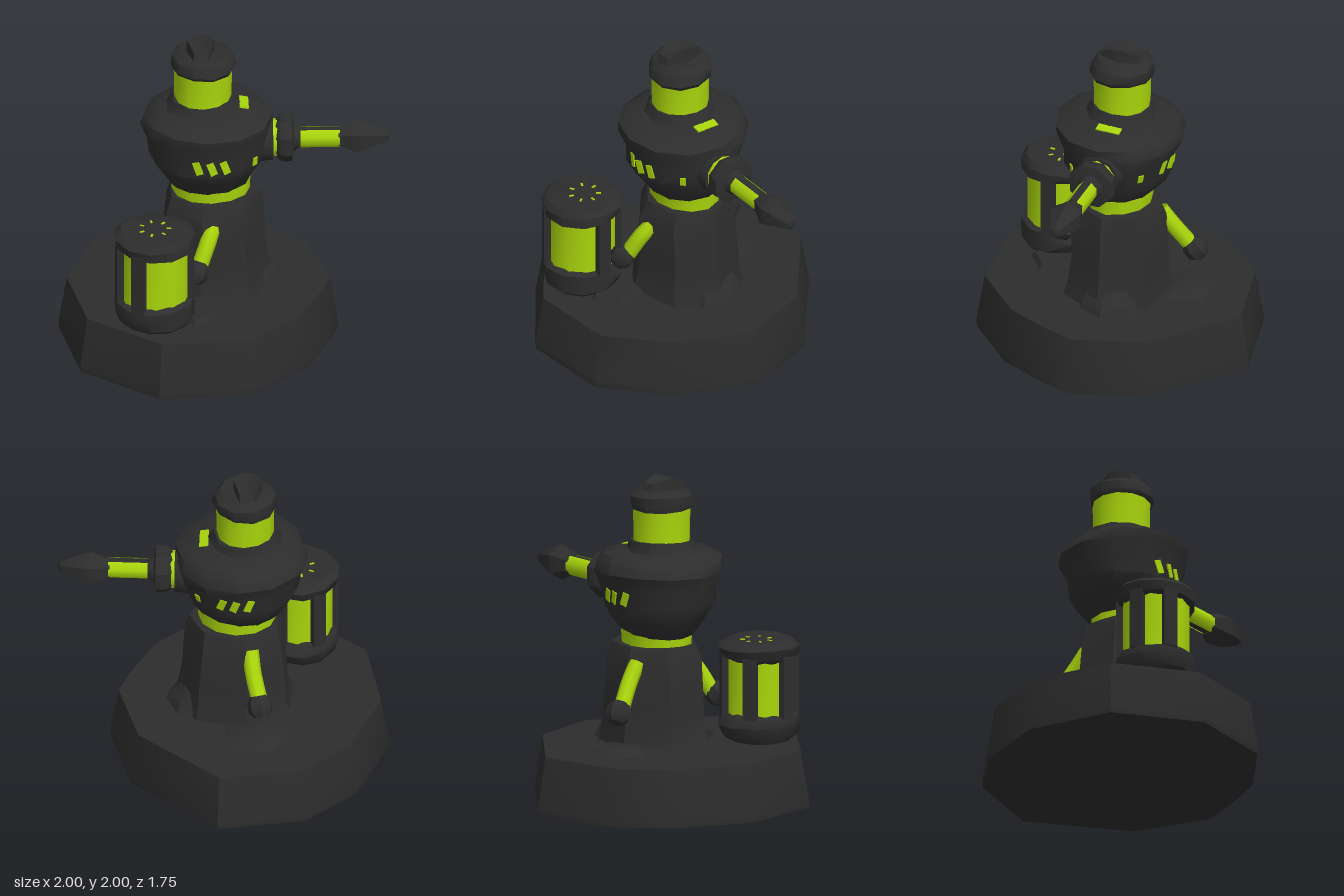
import * as THREE from 'three';
import { toCreasedNormals } from 'three/addons/utils/BufferGeometryUtils.js';

const dark = new THREE.MeshStandardMaterial({ color: 0x2d2d2d });
dark.name = 'charcoal';
const lime = new THREE.MeshStandardMaterial({ color: 0xa8d40c, side: THREE.DoubleSide });
lime.name = 'lime';

// Closed skin over rings of [x, y, z] points, with centre caps; topDip lowers the upper centre
function skin(rings, topDip = 0) {
  const n = rings[0].length, pos = [], idx = [];
  rings.forEach(r => r.forEach(p => pos.push(...p)));
  for (let k = 0; k < rings.length - 1; k++) {
    for (let i = 0; i < n; i++) {
      const j = (i + 1) % n, a = k * n, b = a + n;
      idx.push(a + i, b + i, a + j, a + j, b + i, b + j);
    }
  }
  [rings[0], rings[rings.length - 1]].forEach((r, end) => {
    const c = [0, 1, 2].map(d => r.reduce((s, p) => s + p[d], 0) / n);
    c[1] -= end * topDip;
    const ci = pos.length / 3, o = end * (rings.length - 1) * n;
    pos.push(...c);
    for (let i = 0; i < n; i++) {
      const j = (i + 1) % n;
      if (end) idx.push(ci, o + j, o + i); else idx.push(ci, o + i, o + j);
    }
  });
  const g = new THREE.BufferGeometry();
  g.setAttribute('position', new THREE.Float32BufferAttribute(pos, 3));
  g.setIndex(idx);
  return toCreasedNormals(g, 0.7);
}

// Roughly round stack of [y, rx, rz] rings, with hand-hewn unevenness
function loft(profile, sides, { rough = 0, phase = 0, pleat = 0, sag = 0, dip = 0 } = {}) {
  return skin(profile.map(([y, rx, rz = rx], k) => Array.from({ length: sides }, (_, i) => {
    const a = phase + i / sides * Math.PI * 2;
    const s = 1 + rough * Math.sin(i * 12.9 + k * 2.3) - pleat * (i % 2);
    return [Math.cos(a) * rx * s, y - sag * Math.abs(Math.sin(a)) + rough * 0.2 * Math.sin(i * 5.1 + k), Math.sin(a) * rz * s];
  })), dip);
}

export function createModel() {
  const model = new THREE.Group();
  const add = (name, geo, mat, x = 0, y = 0, z = 0) => {
    const m = new THREE.Mesh(geo, mat);
    m.name = name;
    m.position.set(x, y, z);
    model.add(m);
    return m;
  };
  const box = (name, w, h, d, x, y, z, turn, mat) => {
    const m = add(name, new THREE.BoxGeometry(w, h, d), mat, x, y, z);
    m.rotation.y = turn;
  };

  // Rock base with a slightly domed top
  const outline = [[0.69, 0.02], [0.62, 0.22], [0.48, 0.52], [0.15, 0.83], [-0.41, 0.87], [-0.88, 0.52],
    [-1, -0.02], [-0.82, -0.49], [-0.53, -0.77], [0, -0.88], [0.54, -0.45]];
  const baseRing = (y, s) => outline.map(([x, z]) => [-0.155 + (x + 0.155) * s, y, z * s]);
  add('base', skin([baseRing(0, 0.995), baseRing(0.04, 1), baseRing(0.352, 0.94)], -0.015), dark);

  // Low rubble around the pedestal
  add('rubble', loft([[0.34, 0.2, 0.21], [0.41, 0.17, 0.18], [0.48, 0.1, 0.13]], 7, { rough: 0.04 }), dark, 0.155, 0, -0.05);
  add('rubble', loft([[0.34, 0.15, 0.19], [0.39, 0.12, 0.15]], 5, { phase: 0.4 }), dark, -0.18, 0, 0.43);
  add('rubble', loft([[0.34, 0.24, 0.22], [0.39, 0.15, 0.12]], 5, { phase: 0.4 }), dark, -0.2, 0, -0.4);

  // Pleated pedestal
  add('pedestal', loft([[0.34, 0.38, 0.34], [0.43, 0.35, 0.32], [0.6, 0.33, 0.295], [0.88, 0.305, 0.295], [0.97, 0.28, 0.25]],
    14, { pleat: 0.09, rough: 0.02 }), dark, -0.07, 0, -0.01);
  add('waistRing', loft([[0.95, 0.235, 0.2], [1.06, 0.24, 0.21]], 12), lime, -0.08, 0, -0.01);

  // Bulging body
  const bodyGeo = loft([[1.02, 0.21, 0.19], [1.06, 0.26, 0.23], [1.14, 0.305, 0.285], [1.22, 0.35, 0.335], [1.32, 0.375, 0.345],
    [1.43, 0.4, 0.39], [1.49, 0.385, 0.39], [1.53, 0.32, 0.34], [1.55, 0.2, 0.2]], 12, { rough: 0.025 });
  bodyGeo.translate(-0.1, 0, -0.01);
  const body = add('body', bodyGeo, dark);

  // Thin lime plates laid on the body surface along a ray
  const ray = new THREE.Raycaster();
  const plate = (name, origin, dir, w, h, tilt = 0) => {
    ray.set(new THREE.Vector3(...origin), new THREE.Vector3(...dir));
    const hit = ray.intersectObject(body)[0];
    const m = add(name, new THREE.BoxGeometry(w, h, 0.009), lime);
    m.position.copy(hit.point).addScaledVector(hit.face.normal, 0.002);
    if (dir[1]) m.up.set(0, 0, 1);
    m.lookAt(m.position.clone().add(hit.face.normal));
    m.rotateZ(tilt);
  };
  for (const s of [1, -1]) {
    for (const x of [-0.165, -0.08, 0]) plate('vent', [x, 1.285, s], [0, 0, -s], 0.045, 0.085, s * 0.35);
    plate('sideVent', [1, 1.265, s * 0.215 - 0.02], [-1, 0, 0], 0.035, 0.055);
  }
  plate('shoulderLight', [0.12, 2, -0.02], [0, -1, 0], 0.055, 0.15);

  // Neck collar, glowing head and cap
  const hx = -0.127, hz = -0.01;
  add('collar', loft([[1.5, 0.26, 0.25], [1.55, 0.225, 0.22], [1.61, 0.195, 0.195]], 9, { rough: 0.03 }), dark, hx, 0, hz);
  add('head', loft([[1.58, 0.173], [1.72, 0.174], [1.825, 0.178]], 12), lime, hx, 0, hz);
  add('cap', loft([[1.805, 0.183], [1.83, 0.2], [1.89, 0.19], [1.92, 0.15]], 10, { rough: 0.03 }), dark, hx, 0, hz);
  add('crown', loft([[1.92, 0.085, 0.17], [2, 0.085, 0.13]], 6, { sag: 0.04, dip: 0.02 }), dark, hx - 0.015, 0, hz);

  // Cannon, built upright and laid along +x
  const gun = (name, geo, mat) => add(name, geo.rotateZ(-Math.PI / 2), mat, 0, 1.31, -0.015);
  gun('cannonMount', loft([[0.18, 0.15], [0.295, 0.135]], 10), dark);
  gun('cannonSocket', loft([[0.2, 0.115], [0.33, 0.115]], 10), lime);
  gun('cannonDisc', loft([[0.31, 0.11], [0.335, 0.14], [0.37, 0.15], [0.41, 0.145], [0.42, 0.1]], 8, { phase: Math.PI / 8 }), dark);
  gun('barrel', loft([[0.41, 0.09], [0.46, 0.06], [0.74, 0.06]], 8, { phase: Math.PI / 8 }), dark);
  for (const start of [-3, 5]) {
    const strip = new THREE.CylinderGeometry(0.064, 0.064, 0.24, 3, 1, true, start * Math.PI / 8, Math.PI * 0.75);
    gun('barrelLight', strip.translate(0, 0.58, 0), lime);
  }
  gun('muzzle', loft([[0.69, 0.066], [0.73, 0.075], [0.8, 0.11], [0.84, 0.1], [0.99, 0.035], [1, 0.02]], 6), dark);

  // Tank with windows between posts
  const tx = -0.43, tz = 0.505;
  add('tankBase', loft([[0.36, 0.2], [0.39, 0.235], [0.46, 0.25], [0.51, 0.235], [0.535, 0.2]], 11, { rough: 0.03 }), dark, tx, 0, tz);
  add('tankGlass', loft([[0.5, 0.207], [0.9, 0.207]], 12), lime, tx, 0, tz);
  add('tankLid', loft([[0.855, 0.2], [0.875, 0.24], [0.935, 0.25], [0.968, 0.21]], 11, { rough: 0.03 }), dark, tx, 0, tz);
  for (const deg of [0, 118, 172, 235, 300]) {
    const a = deg * Math.PI / 180;
    box('tankPost', 0.06, 0.38, 0.085, tx + Math.cos(a) * 0.207, 0.7, tz + Math.sin(a) * 0.207, -a, dark);
  }
  for (let i = 0; i < 7; i++) {
    const a = i / 7 * Math.PI * 2;
    box('lidLight', 0.03, 0.008, 0.013, tx + Math.cos(a) * 0.085, 0.967, tz - 0.02 + Math.sin(a) * 0.085, -a, lime);
  }

  // Hoses with end knobs
  const hose = (from, mid, to, knob) => {
    const path = new THREE.CatmullRomCurve3([from, mid, to].map(p => new THREE.Vector3(...p)));
    add('hose', new THREE.TubeGeometry(path, 6, 0.05, 8), lime);
    const m = add('hoseKnob', loft([[-0.07, 0.045], [-0.035, 0.075], [0.025, 0.075], [0.06, 0.05]], 7), dark, ...knob);
    m.quaternion.setFromUnitVectors(new THREE.Vector3(0, -1, 0),
      new THREE.Vector3(...to).sub(new THREE.Vector3(...from)).normalize());
  };
  hose([-0.07, 0.84, 0.22], [-0.1, 0.77, 0.29], [-0.16, 0.62, 0.36], [-0.175, 0.61, 0.385]);
  hose([-0.17, 0.88, -0.24], [-0.19, 0.77, -0.32], [-0.23, 0.64, -0.41], [-0.235, 0.615, -0.44]);

  return model;
}
